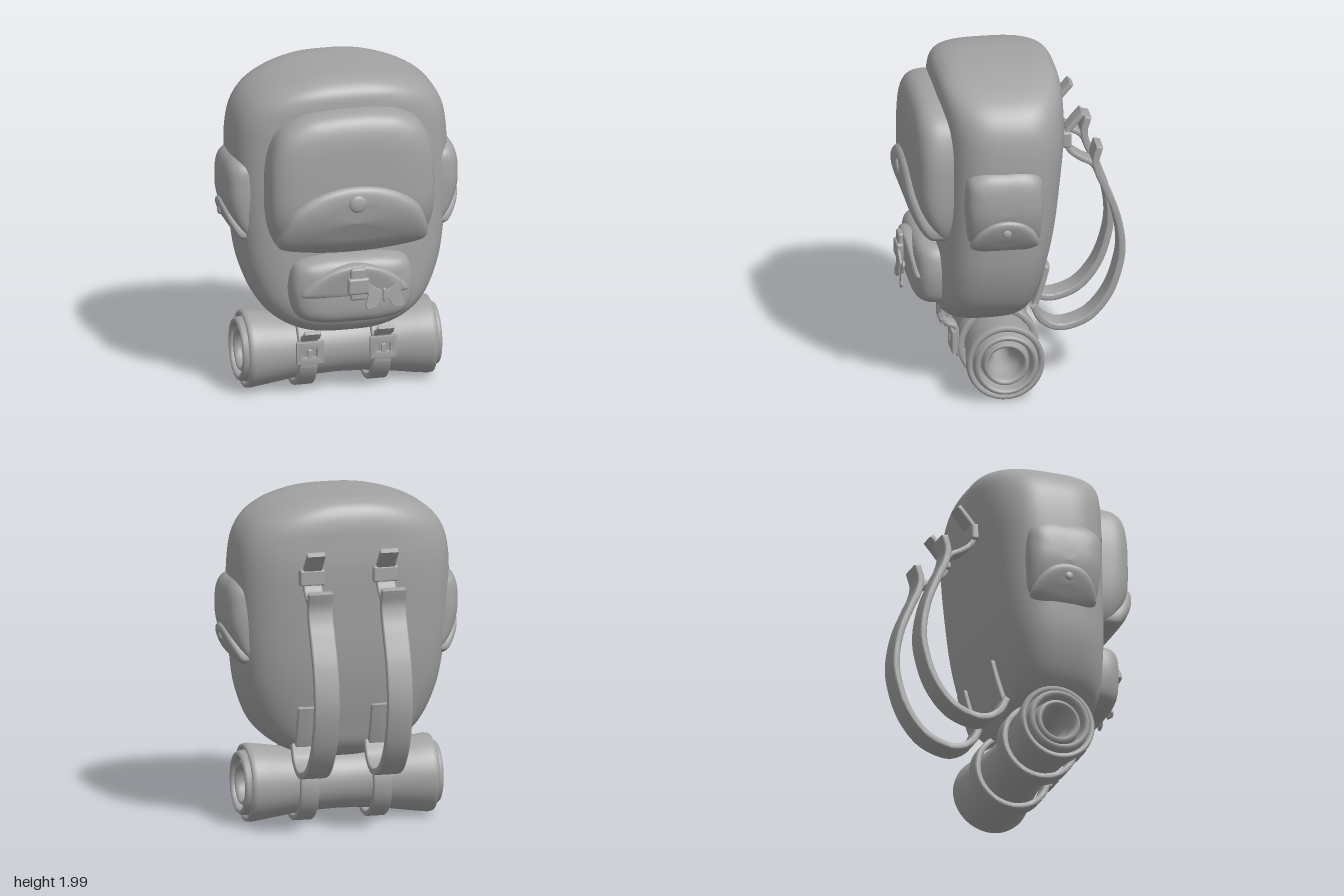
import * as THREE from 'three';
import { toCreasedNormals } from 'three/addons/utils/BufferGeometryUtils.js';
import { RoundedBoxGeometry } from 'three/addons/geometries/RoundedBoxGeometry.js';

const grey = new THREE.MeshStandardMaterial({ color: 0xa3a3a3, side: THREE.DoubleSide });
grey.name = 'plain grey';

function add(parent, name, geometry, x = 0, y = 0, z = 0) {
  const mesh = new THREE.Mesh(geometry, grey);
  mesh.name = name;
  mesh.position.set(x, y, z);
  parent.add(mesh);
  return mesh;
}

// Smooth skin over rows of closed loops
function skin(rows) {
  const n = rows[0].length, index = [];
  for (let r = 0; r < rows.length - 1; r++) {
    for (let i = 0; i < n; i++) {
      const j = (i + 1) % n, a = r * n + i, b = r * n + j;
      index.push(a, b, a + n, b, b + n, a + n);
    }
  }
  const g = new THREE.BufferGeometry();
  g.setAttribute('position', new THREE.Float32BufferAttribute(rows.flat(2), 3));
  g.setIndex(index);
  g.computeVertexNormals();
  return g;
}

// Closed outline from the right half, listed bottom centre to top centre
function outline(half) {
  const left = half.slice(1, -1).reverse().map(([x, y]) => [-x, y]);
  const pts = [...half, ...left].map(([x, y]) => new THREE.Vector3(x, y, 0));
  return new THREE.CatmullRomCurve3(pts, true, 'centripetal').getPoints(96).slice(0, -1);
}

// Puffed panel facing +z, with shift(y) leaning its face back or forward
function pillow(half, base, front, power, shift) {
  const loop = outline(half);
  const cy = (half[0][1] + half[half.length - 1][1]) / 2;
  const rows = [];
  for (let r = 0; r <= 22; r++) {
    const a = (r / 22) * Math.PI / 2;
    const s = Math.pow(Math.max(0, Math.cos(a)), 2 / power);
    const d = Math.pow(Math.sin(a), 2 / power);
    rows.push(loop.map(p => {
      const y = cy + (p.y - cy) * s;
      return [p.x * s, y, base + (front - base + shift(y)) * d];
    }));
  }
  return skin(rows);
}
const droop = y => -1.25 * Math.max(0, 1.3 - y) ** 2;

// Strap following [z, y] points, extruded across x
function ribbon(points, width, thick, closed = false) {
  const curve = new THREE.CatmullRomCurve3(points.map(([z, y]) => new THREE.Vector3(z, y, 0)), closed);
  const n = points.length * 6, outer = [], inner = [], bevel = 0.01;
  for (let i = 0; i <= n; i++) {
    const p = curve.getPoint(i / n), t = curve.getTangent(i / n), h = thick / 2 - bevel;
    outer.push(new THREE.Vector2(p.x - t.y * h, p.y + t.x * h));
    inner.push(new THREE.Vector2(p.x + t.y * h, p.y - t.x * h));
  }
  const depth = width - 2 * bevel;
  const g = new THREE.ExtrudeGeometry(new THREE.Shape([...outer, ...inner.reverse()]), {
    depth, bevelSize: bevel, bevelThickness: bevel, bevelSegments: 3,
  });
  g.translate(0, 0, -depth / 2).rotateY(-Math.PI / 2);
  return toCreasedNormals(g, 0.7);
}

// Rectangular frame facing +z
function frame(w, h, bar, depth) {
  const rect = (a, b) => [[-a, -b], [a, -b], [a, b], [-a, b]].map(([x, y]) => new THREE.Vector2(x / 2, y / 2));
  const s = new THREE.Shape(rect(w, h));
  s.holes.push(new THREE.Path(rect(w - bar * 2, h - bar * 2).reverse()));
  return toCreasedNormals(new THREE.ExtrudeGeometry(s, {
    depth, bevelSize: 0.006, bevelThickness: 0.006, bevelSegments: 2,
  }), 0.7);
}

// Main bag: [y, half width, back z, front z]
function bagGeometry() {
  const table = [
    [0.39, 0.0, 0.1, 0.1], [0.40, 0.15, 0.0, 0.28], [0.43, 0.28, -0.07, 0.38], [0.5, 0.41, -0.13, 0.44],
    [0.6, 0.505, -0.165, 0.46], [0.8, 0.59, -0.22, 0.46], [1.0, 0.625, -0.26, 0.455], [1.3, 0.648, -0.295, 0.445],
    [1.6, 0.649, -0.32, 0.437], [1.75, 0.62, -0.317, 0.435], [1.85, 0.555, -0.31, 0.432], [1.92, 0.45, -0.29, 0.415],
    [1.97, 0.3, -0.25, 0.365], [1.993, 0.15, -0.17, 0.28], [2.0, 0.0, 0.06, 0.06],
  ];
  const curve = f => new THREE.CatmullRomCurve3(table.map(f), false, 'centripetal');
  const width = curve(r => new THREE.Vector3(r[0], r[1], 0));
  const depth = curve(r => new THREE.Vector3(r[0], r[2], r[3]));
  const power = (v, e) => Math.sign(v) * Math.abs(v) ** e;
  const rows = [];
  for (let r = 0; r <= 84; r++) {
    const p = width.getPoint(r / 84), q = depth.getPoint(r / 84), loop = [];
    const mid = (q.y + q.z) / 2, half = (q.z - q.y) / 2;
    for (let i = 0; i < 80; i++) {
      const a = i / 80 * Math.PI * 2, c = Math.cos(a), s = -Math.sin(a);
      const e = 2 / (s > 0 ? 3.2 : 3);
      loop.push([p.y * power(c, e), Math.min(2, p.x), mid + half * power(s, e)]);
    }
    rows.push(loop);
  }
  return skin(rows);
}

// Rolled mat with stepped layers at each end and a hole through it
function rollGeometry() {
  const end = [
    [0.18, 0], [0.185, 0.15], [0.2, 0.3], [0.222, 0.45], [0.234, 0.54], [0.23, 0.565], [0.215, 0.572], [0.2, 0.56],
    [0.195, 0.54], [0.19, 0.59], [0.18, 0.605], [0.165, 0.605], [0.155, 0.59], [0.15, 0.52], [0.14, 0.52],
    [0.135, 0.575], [0.125, 0.59], [0.11, 0.585], [0.1, 0.56], [0.095, 0.49], [0.075, 0.46], [0.055, 0.4], [0.05, 0],
  ];
  const profile = [...end.slice().reverse().map(([r, x]) => [r, -x]), ...end.slice(1)];
  return new THREE.LatheGeometry(profile.map(([r, x]) => new THREE.Vector2(r, x)), 56).rotateZ(-Math.PI / 2);
}

function wingGeometry(side) {
  const pts = [[0, 0.01], [0.045, 0.033], [0.1, 0.072], [0.11, 0.05], [0.095, 0], [0.115, -0.065], [0.103, -0.085],
    [0.055, -0.078], [0.03, -0.03], [0, -0.02]];
  const s = new THREE.Shape(pts.map(([x, y]) => new THREE.Vector2(x * side, y)));
  return new THREE.ExtrudeGeometry(s, { depth: 0.008, bevelSize: 0.004, bevelThickness: 0.004, bevelSegments: 2 });
}

export function createModel() {
  const model = new THREE.Group();
  model.name = 'backpack';
  add(model, 'mainBag', bagGeometry());

  // Large front pocket
  add(model, 'upperPocket', pillow([[0, 0.96], [0.3, 0.965], [0.43, 1.0], [0.49, 1.12], [0.508, 1.4], [0.49, 1.58],
    [0.43, 1.72], [0.3, 1.805], [0.15, 1.832], [0, 1.838]], 0.38, 0.605, 4.2, droop));
  add(model, 'upperFlap', pillow([[0, 0.945], [0.25, 0.962], [0.44, 1.01], [0.455, 1.05], [0.435, 1.15], [0.375, 1.27],
    [0.23, 1.37], [0, 1.412]], 0.40, 0.642, 8, droop));
  add(model, 'upperButton', new THREE.SphereGeometry(0.053, 28, 18), 0, 1.305, 0.64).scale.z = 0.35;

  // Small front pocket with its clasp
  add(model, 'lowerPocket', pillow([[0, 0.52], [0.22, 0.53], [0.33, 0.575], [0.37, 0.68], [0.372, 0.8], [0.335, 0.895],
    [0.22, 0.935], [0, 0.943]], 0.38, 0.587, 4.2, () => 0));
  add(model, 'lowerFlap', pillow([[0, 0.697], [0.2, 0.703], [0.325, 0.72], [0.325, 0.735], [0.26, 0.81], [0.15, 0.88],
    [0, 0.91]], 0.46, 0.605, 8, y => (y - 0.8) * 0.15));
  add(model, 'claspStrap', new RoundedBoxGeometry(0.1, 0.2, 0.035, 3, 0.015), 0.005, 0.8, 0.625);
  add(model, 'claspLoop', new RoundedBoxGeometry(0.13, 0.1, 0.045, 3, 0.015), 0.005, 0.79, 0.633);
  const butterfly = new THREE.Group();
  butterfly.name = 'butterfly';
  butterfly.position.set(0.158, 0.733, 0.635);
  butterfly.rotation.x = -0.1;
  for (const side of [-1, 1]) add(butterfly, 'wing', wingGeometry(side)).rotation.y = -side * 0.1;
  add(butterfly, 'butterflyBody', new THREE.CapsuleGeometry(0.011, 0.06, 6, 12), 0, -0.005, 0.012);
  model.add(butterfly);

  // Side pockets
  for (const side of [-1, 1]) {
    const pocket = new THREE.Group();
    pocket.name = side > 0 ? 'leftPocket' : 'rightPocket';
    pocket.position.z = 0.095;
    pocket.rotation.y = side * Math.PI / 2;
    add(pocket, 'sidePocket', pillow([[0, 0.975], [0.13, 0.985], [0.205, 1.03], [0.23, 1.18], [0.235, 1.35],
      [0.215, 1.46], [0.14, 1.508], [0, 1.515]], 0.54, 0.712, 3.6, droop));
    add(pocket, 'sideFlap', pillow([[0, 0.97], [0.12, 0.985], [0.2, 1.02], [0.205, 1.04], [0.17, 1.13], [0.1, 1.2],
      [0, 1.224]], 0.56, 0.738, 7, droop));
    add(pocket, 'sideButton', new THREE.SphereGeometry(0.026, 20, 14), 0, 1.14, 0.708).scale.z = 0.5;
    model.add(pocket);
  }

  // Rolled mat and the straps that hold it
  add(model, 'rolledMat', rollGeometry(), 0, 0.25, 0.08);
  const ring = Array.from({ length: 16 }, (_, i) => {
    const a = i / 16 * Math.PI * 2;
    return [0.08 + Math.cos(a) * 0.222, 0.25 + Math.sin(a) * 0.222];
  });
  for (const x of [-0.22, 0.225]) {
    add(model, 'matStrap', ribbon(ring, 0.115, 0.036, true), x);
    add(model, 'matStrapTab', ribbon([[0.41, 0.43], [0.385, 0.4], [0.335, 0.375], [0.325, 0.3], [0.315, 0.2]], 0.105, 0.028), x);
    add(model, 'matBuckle', frame(0.152, 0.125, 0.03, 0.018), x, 0.288, 0.337);
    add(model, 'matBucklePin', new RoundedBoxGeometry(0.03, 0.07, 0.02, 2, 0.006), x, 0.275, 0.35);
  }

  // Shoulder straps
  const main = [[-0.125, 0.5], [-0.165, 0.42], [-0.24, 0.368], [-0.31, 0.36], [-0.45, 0.41], [-0.57, 0.55], [-0.637, 0.74],
    [-0.65, 0.87], [-0.618, 1.06], [-0.553, 1.23], [-0.51, 1.33], [-0.495, 1.41], [-0.515, 1.49]];
  for (const x of [-0.187, 0.26]) {
    add(model, 'shoulderStrap', ribbon(main, 0.153, 0.042), x);
    add(model, 'lowerStrapTab', ribbon([[-0.205, 0.735], [-0.18, 0.64], [-0.155, 0.56], [-0.13, 0.49]], 0.11, 0.034), x);
    add(model, 'upperStrap', ribbon([[-0.52, 1.3], [-0.475, 1.385], [-0.4, 1.43], [-0.335, 1.49], [-0.32, 1.58],
      [-0.36, 1.64], [-0.415, 1.705]], 0.115, 0.032), x);
    add(model, 'strapBuckle', new RoundedBoxGeometry(0.155, 0.1, 0.055, 3, 0.015), x, 1.555, -0.32);
  }
  return model;
}
